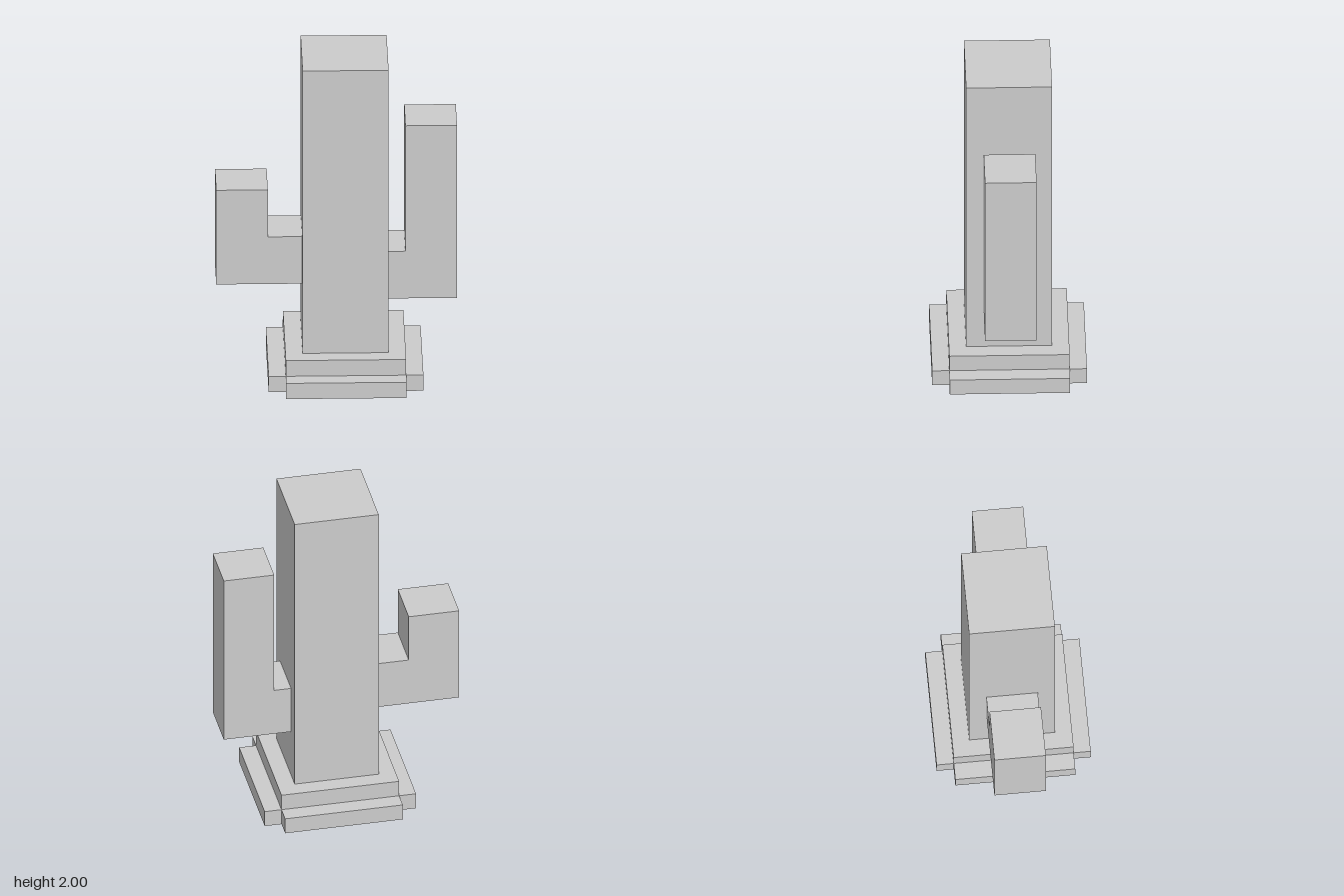
import * as THREE from 'three';

const material = new THREE.MeshStandardMaterial({ color: 0xcccccc, flatShading: true });

function extrude(points, depth) {
  const shape = new THREE.Shape(points.map(([x, y]) => new THREE.Vector2(x, y)));
  return new THREE.ExtrudeGeometry(shape, { depth, bevelEnabled: false });
}

export function createModel() {
  const group = new THREE.Group();
  const centreX = 0.05; // trunk and base sit slightly off centre

  function add(name, geometry, x = 0, y = 0, z = 0) {
    const mesh = new THREE.Mesh(geometry, material);
    mesh.name = name;
    mesh.position.set(x, y, z);
    group.add(mesh);
  }

  // Lower base step: a square with notched corners
  const a = 0.35, b = 0.45;
  const cross = extrude([
    [-a, -b], [a, -b], [a, -a], [b, -a], [b, a], [a, a],
    [a, b], [-a, b], [-a, a], [-b, a], [-b, -a], [-a, -a],
  ], 0.1);
  cross.rotateX(-Math.PI / 2);
  add('baseLowerStep', cross, centreX);

  // Upper base step and trunk
  add('baseUpperStep', new THREE.BoxGeometry(0.7, 0.1, 0.7), centreX, 0.15);
  add('trunk', new THREE.BoxGeometry(0.5, 1.8, 0.5), centreX, 1.1);

  // L-shaped arms: joint at the trunk, then an upright
  function addArm(name, inner, elbow, outer, bottom, jointTop, top) {
    const profile = [
      [inner, bottom], [outer, bottom], [outer, top],
      [elbow, top], [elbow, jointTop], [inner, jointTop],
    ];
    add(name, extrude(profile, 0.3), 0, 0, -0.15);
  }
  addArm('leftArm', 0.3, 0.4, 0.7, 0.5, 0.8, 1.6);
  addArm('rightArm', -0.2, -0.4, -0.7, 0.6, 0.9, 1.2);

  return group;
}
